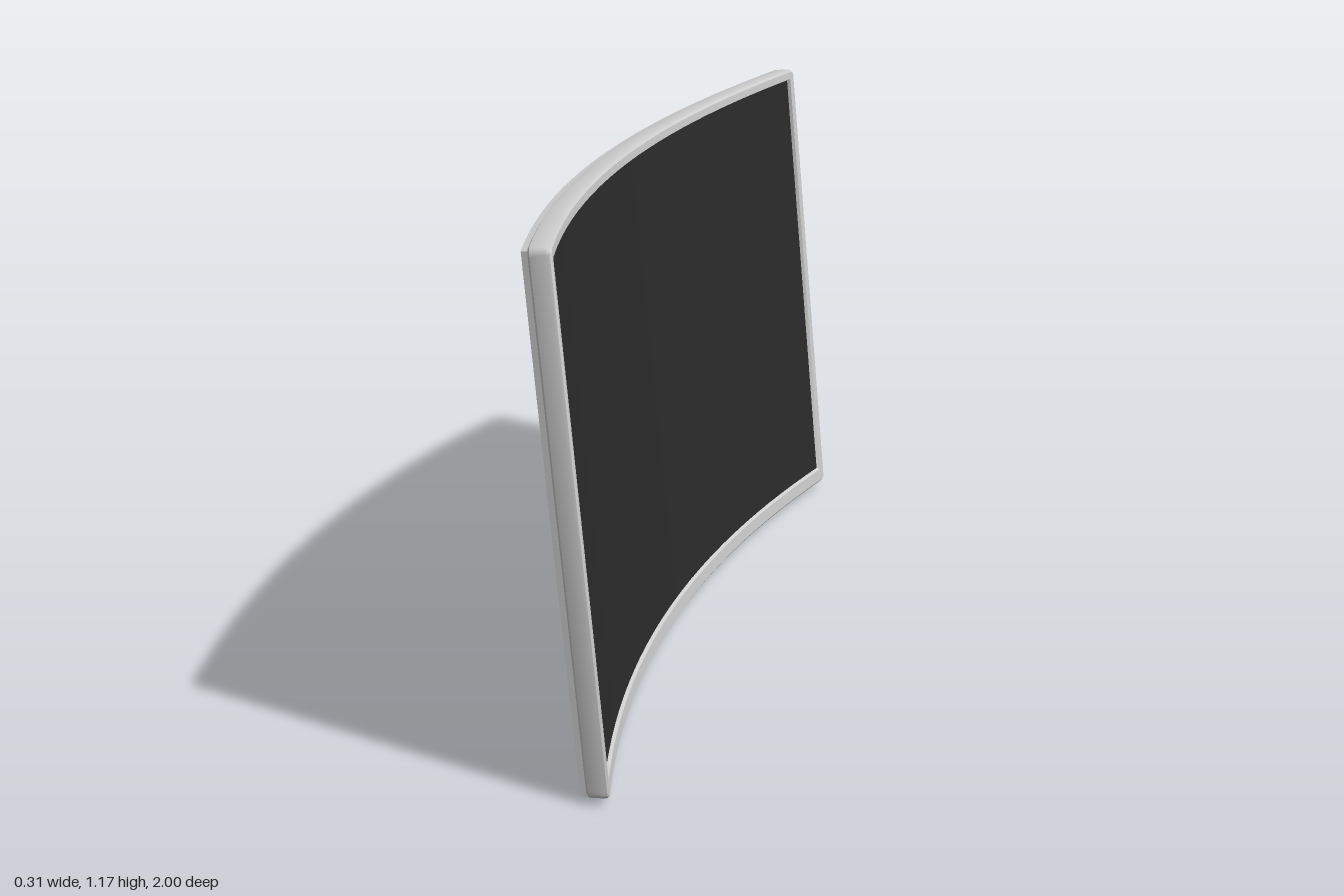
import * as THREE from 'three';
import { toCreasedNormals } from 'three/addons/utils/BufferGeometryUtils.js';

const H = 1.165, BOW = 0.135, TILT = 0.093;
const grey = new THREE.MeshStandardMaterial({ color: 0xcccccc, side: THREE.DoubleSide });
const dark = new THREE.MeshStandardMaterial({ color: 0x2a2a2a, side: THREE.DoubleSide });

// Depth, height and width on a flat panel -> bowed and tilted back
function place([d, h, z]) {
  const b = d + BOW * z * z, c = Math.cos(TILT), s = Math.sin(TILT);
  return [-0.03 + b * c - h * s, 0.004 + h * c + b * s, z];
}

// Surface through rows of points; skip leaves cells open
function sheet(name, rows, material, skip = () => false) {
  const pos = [], idx = [], n = rows[0].length;
  rows.forEach(r => r.forEach(p => pos.push(...place(p))));
  for (let i = 0; i < rows.length - 1; i++) {
    for (let j = 0; j < n - 1; j++) {
      if (skip(rows[i][j], rows[i + 1][j + 1])) continue;
      const a = i * n + j, b = a + 1, c = a + n, d = c + 1;
      idx.push(a, b, d, a, d, c);
    }
  }
  const g = new THREE.BufferGeometry();
  g.setAttribute('position', new THREE.Float32BufferAttribute(pos, 3));
  g.setIndex(idx);
  const mesh = new THREE.Mesh(toCreasedNormals(g, 0.5), material);
  mesh.name = name;
  return mesh;
}

const steps = (a, b, n) => Array.from({ length: n + 1 }, (_, i) => a + (b - a) * i / n);

// Rounded rectangular ring at depth d; the bottom edge may be inset further
function ring(inset, d, bottom = inset) {
  const pts = [], r = Math.max(0.018 - inset, 0.001);
  const w = 1 - inset, top = H - inset;
  const corners = [[w - r, bottom + r, -1], [w - r, top - r, 0], [-w + r, top - r, 1], [-w + r, bottom + r, 2]];
  corners.forEach(([z, h, q], k) => {
    for (const t of steps(0, 1, 4)) {
      const a = (q + t) * Math.PI / 2;
      pts.push([d, h + r * Math.sin(a), z + r * Math.cos(a)]);
    }
    const last = pts[pts.length - 1];
    if (k === 1 || k === 3) {
      const s = k === 1 ? -1 : 1;
      for (const t of steps(-1, 1, 24).slice(1, -1)) pts.push([d, last[1], s * t * (w - r)]);
    }
  });
  pts.push([...pts[0]]);
  return pts;
}

// Fullness of the rear shell behind the frame
const profile = [[0, 0], [0.04, 0.03], [0.41, 1], [0.5, 1.05], [0.6, 1.03], [0.7, 0.92], [0.8, 0.74],
  [0.9, 0.53], [1, 0.32], [1.08, 0.14], [H, 0]];
function shellDepth(h, z) {
  let i = 0;
  while (i < profile.length - 2 && h > profile[i + 1][0]) i++;
  const [h0, f0] = profile[i], [h1, f1] = profile[i + 1];
  const f = f0 + (f1 - f0) * (h - h0) / (h1 - h0);
  const t = Math.max(0, (Math.abs(z) - 0.33) / 0.67);
  return -0.013 - 0.055 * f * (1 - t ** 1.5);
}

export function createModel() {
  const group = new THREE.Group();

  // Front frame: rounded lip, flat bezel and inner step
  group.add(sheet('frame', [
    ring(0.05, 0), ring(0.006, 0), ring(0.001, 0.004), ring(0, 0.01), ring(0, 0.04),
    ring(0.002, 0.046), ring(0.007, 0.05), ring(0.025, 0.05, 0.038), ring(0.028, 0.042, 0.043),
  ], grey));

  // Curved display panel
  const zs = steps(-0.975, 0.975, 32);
  group.add(sheet('screen', [0.041, H - 0.026].map(h => zs.map(z => [0.0425, h, z])), dark));

  // Rear shell with an open notch at the bottom centre
  const E = 0.993, N = 0.32, lo = 0.005, hi = H - 0.007, notchTop = 0.41;
  const cols = [...steps(-E, -N, 14), ...steps(-N, N, 10).slice(1, -1), ...steps(N, E, 14)];
  const rowsH = [lo, 0.04, ...steps(0.04, notchTop, 4).slice(1), ...profile.slice(3, -1).map(p => p[0]), hi];
  const out = (h, z) => [shellDepth(h, z), h, z];
  const inNotch = (p, q) => p[2] > -N - 0.001 && q[2] < N + 0.001 && q[1] < notchTop + 0.001;
  group.add(sheet('rearShell', rowsH.map(h => cols.map(z => out(h, z))), grey, inNotch));

  // Shell rim down to the frame
  const rim = (name, line) => group.add(sheet(name, [line, line.map(([, h, z]) => [0.001, h, z])], grey));
  rim('shellTopRim', cols.map(z => out(hi, z)));
  for (const s of [-1, 1]) {
    rim('shellSideRim', rowsH.map(h => out(h, s * E)));
    rim('shellBottomRim', cols.filter(z => s * z > N - 0.001).map(z => out(lo, z)));
  }

  // Dark notch lining: floor, side walls and ceiling
  const floorD = -0.002;
  const notchCols = cols.filter(z => Math.abs(z) < N + 0.001);
  const notchRows = rowsH.filter(h => h < notchTop + 0.001);
  const wall = (name, line) =>
    group.add(sheet(name, [line, line.map(([, h, z]) => [floorD, h, z])], dark));
  group.add(sheet('notchFloor', [0.03, notchTop].map(h => notchCols.map(z => [floorD, h, z])), dark));
  wall('notchCeiling', notchCols.map(z => out(notchTop, z)));
  for (const s of [-1, 1]) wall('notchSideWall', notchRows.map(h => out(h, s * N)));

  return group;
}
